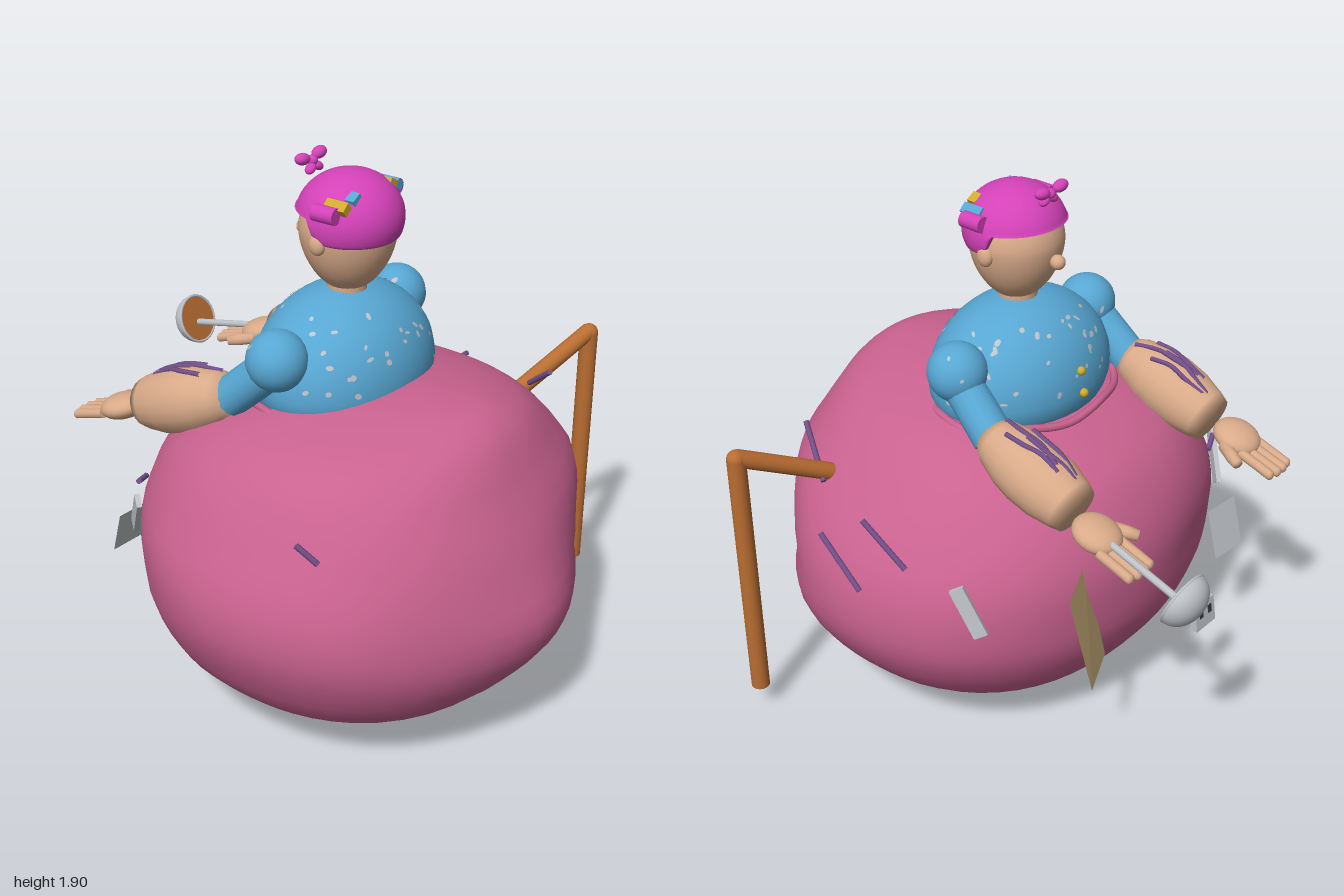
import * as THREE from 'three';
import { mergeVertices, mergeGeometries } from 'three/addons/utils/BufferGeometryUtils.js';

const V = (x, y, z) => new THREE.Vector3(x, y, z);
const CX = -0.07; // mirror plane of the figure

function mat(name, color, side = THREE.FrontSide) {
  const m = new THREE.MeshStandardMaterial({ color, side });
  m.name = name;
  return m;
}

export function createModel() {
  const pink = mat('pink', 0xc9628f), blue = mat('blue', 0x57a7d3), skin = mat('skin', 0xd8aa89);
  const magenta = mat('magenta', 0xd442b8), wood = mat('wood', 0xb96d32), purple = mat('purple', 0x74508a);
  const silver = mat('silver', 0xbec2c7, THREE.DoubleSide), tan = mat('tan', 0xcbae78, THREE.DoubleSide);
  const gold = mat('gold', 0xd0ac2c), dark = mat('dark', 0x33343a);
  const root = new THREE.Group();

  const add = (name, geo, material, parent = root) => {
    const m = new THREE.Mesh(geo, material);
    m.name = name;
    parent.add(m);
    return m;
  };
  const ball = (name, material, p, r, parent = root, seg = 24) => {
    const m = add(name, new THREE.SphereGeometry(1, seg, Math.ceil(seg * 0.7)), material, parent);
    m.position.set(...p);
    m.scale.set(...(Array.isArray(r) ? r : [r, r, r]));
    return m;
  };
  // Lathe whose profile of [radius, fraction] runs from a to b
  const limb = (name, material, a, b, profile, parent = root, seg = 20) => {
    const d = b.clone().sub(a), len = d.length();
    const m = add(name, new THREE.LatheGeometry(profile.map(([r, t]) => new THREE.Vector2(r, t * len)), seg), material, parent);
    m.position.copy(a);
    m.quaternion.setFromUnitVectors(V(0, 1, 0), d.normalize());
  };
  const rod = (name, material, a, b, r, parent = root, seg = 16) => {
    const m = add(name, new THREE.CylinderGeometry(r, r, a.distanceTo(b), seg), material, parent);
    m.position.copy(a).lerp(b, 0.5);
    m.quaternion.setFromUnitVectors(V(0, 1, 0), b.clone().sub(a).normalize());
  };
  // Sphere whose vertices are moved by a rule
  const shaped = (name, material, segs, rule) => {
    const g = new THREE.SphereGeometry(1, segs, segs), p = g.attributes.position;
    for (let i = 0; i < p.count; i++) p.setXYZ(i, ...rule(p.getX(i), p.getY(i), p.getZ(i)));
    g.computeVertexNormals();
    return add(name, g, material);
  };

  // Big soft body: ring extents [y, xMin, xMax, zMin, zMax], from top to bottom
  const rings = [
    [1.19, -0.1, -0.1, 0.42, 0.42], [1.18, -0.24, 0.04, 0.22, 0.6], [1.16, -0.36, 0.17, 0.06, 0.68],
    [1.11, -0.53, 0.34, -0.14, 0.745], [1.04, -0.65, 0.45, -0.31, 0.79], [0.96, -0.73, 0.54, -0.42, 0.83],
    [0.83, -0.81, 0.66, -0.495, 0.9], [0.7, -0.88, 0.74, -0.53, 0.95], [0.56, -0.9, 0.77, -0.53, 0.995],
    [0.42, -0.86, 0.75, -0.51, 0.965], [0.26, -0.765, 0.65, -0.43, 0.85], [0.14, -0.62, 0.51, -0.32, 0.7],
    [0.06, -0.43, 0.31, -0.16, 0.53], [0.015, -0.25, 0.12, 0.02, 0.36], [0, -0.06, -0.06, 0.2, 0.2],
  ];
  // Widest outline seen from above, starting at the -x side
  const outline = new THREE.CatmullRomCurve3([
    [-0.9, 0.2], [-0.88, 0.4], [-0.78, 0.64], [-0.55, 0.84], [-0.26, 0.99], [-0.07, 0.995], [0.18, 0.88], [0.51, 0.65],
    [0.7, 0.44], [0.765, 0.2], [0.74, 0], [0.65, -0.22], [0.45, -0.4], [0.2, -0.5], [-0.07, -0.53],
    [-0.35, -0.47], [-0.6, -0.37], [-0.8, -0.15], [-0.88, 0.05],
  ].map(([x, z]) => V((x - CX) / 0.835, 0, (z - 0.2) / (z > 0.2 ? 0.795 : 0.73))), true);
  const xs = new THREE.CatmullRomCurve3(rings.map(r => V(r[1], r[0], r[2])), false, 'catmullrom');
  const zs = new THREE.CatmullRomCurve3(rings.map(r => V(r[3], r[0], r[4])), false, 'catmullrom');
  const N = 56, M = 34;
  let body = new THREE.SphereGeometry(1, N, M);
  const bp = body.attributes.position;
  for (let i = 0; i < bp.count; i++) {
    const t = Math.floor(i / (N + 1)) / M, ex = xs.getPoint(t), ez = zs.getPoint(t);
    const n = outline.getPoint((i % (N + 1)) % N / N);
    // fuller, rounder rings away from the widest height
    const full = (Math.abs(n.x) ** 2.25 + Math.abs(n.z) ** 2.25) ** (-1 / 2.25);
    n.lerp(n.clone().multiplyScalar(full), Math.min(1, Math.abs(ex.y - 0.56) / 0.32));
    const mx = THREE.MathUtils.clamp(CX, ex.x, ex.z), mz = THREE.MathUtils.clamp(0.2, ez.x, ez.z);
    bp.setXYZ(i, mx + n.x * (n.x > 0 ? ex.z - mx : mx - ex.x), Math.max(0, ex.y), mz + n.z * (n.z > 0 ? ez.z - mz : mz - ez.x));
  }
  body.deleteAttribute('uv');
  body.deleteAttribute('normal');
  body = mergeVertices(body, 1e-5);
  body.computeVertexNormals();
  add('body', body, pink);

  // Wavy waistband under the shirt
  const band = [];
  for (let i = 0; i < 28; i++) {
    const a = i / 28 * Math.PI * 2;
    band.push(V(CX + 0.36 * Math.cos(a), 1.115 + 0.01 * Math.sin(a * 6), 0.09 + 0.295 * Math.sin(a)));
  }
  add('waistband', new THREE.TubeGeometry(new THREE.CatmullRomCurve3(band, true), 84, 0.014, 8, true), pink);

  // Shirt: domed above, tucked in below
  shaped('shirt', blue, 36, (x, y, z) => [x * 0.36, y * (y > 0 ? 0.29 : 0.22), z * 0.28]).position.set(CX, 1.18, 0.1);

  // Pale speckles on shirt and shoulders
  let seed = 7;
  const rnd = () => (seed = (seed * 16807) % 2147483647) / 2147483647;
  const specks = [];
  const speck = (centre, radii) => {
    const a = rnd() * Math.PI * 2, h = 0.02 + rnd() * 0.8, w = Math.sqrt(1 - h * h);
    const n = V(w * Math.cos(a), h, w * Math.sin(a)), o = new THREE.Object3D();
    o.position.copy(n).multiply(radii).multiplyScalar(1.008).add(centre);
    o.lookAt(n.clone().divide(radii).add(o.position));
    o.rotateZ(rnd() * 3);
    o.scale.set(0.005 + rnd() * 0.006, 0.007 + rnd() * 0.009, 1);
    o.updateMatrix();
    specks.push(new THREE.CircleGeometry(1, 7).applyMatrix4(o.matrix));
  };
  for (let i = 0; i < 70; i++) speck(V(CX, 1.18, 0.1), V(0.36, 0.29, 0.28));
  for (const s of [-1, 1]) for (let i = 0; i < 3; i++) speck(V(CX + s * 0.34, 1.31, 0.08), V(0.103, 0.103, 0.103));
  add('shirtSpeckles', mergeGeometries(specks), silver);
  for (const [y, z] of [[1.26, -0.172], [1.18, -0.186]]) ball('button', gold, [CX, y, z], 0.016, root, 12);

  // Neck and head with a tapered jaw and flat chin
  rod('neck', skin, V(CX, 1.42, 0.11), V(CX, 1.49, 0.11), 0.068);
  shaped('head', skin, 32, (x, y, z) => {
    const k = y < 0 ? 1 + 0.1 * y : 1;
    return [x * 0.165 * k, Math.max(y * (y > 0 ? 0.16 : 0.21), -0.19), z * 0.163 * k];
  }).position.set(CX, 1.665, 0.115);
  ball('nose', skin, [CX, 1.63, -0.065], 0.026);
  for (const s of [-1, 1]) ball('ear', skin, [CX + s * 0.163, 1.655, 0.11], [0.022, 0.036, 0.03]);

  // Cap: flattened dome with a brim that rises over the face
  shaped('cap', magenta, 44, (x, y, z) => {
    const brim = -0.06 + 0.075 * (1 - THREE.MathUtils.smoothstep(z, -0.26, -0.06)) + 0.02 * (1 - z) / 2;
    return [x * 0.18, Math.max(y * 0.155, brim), z * 0.178];
  }).position.set(CX, 1.71, 0.122);

  // Bow above the brow
  const bow = new THREE.Group();
  bow.name = 'bow';
  root.add(bow);
  ball('bowKnot', magenta, [CX, 1.864, -0.03], [0.018, 0.017, 0.02], bow, 14);
  for (const s of [-1, 1]) {
    ball('bowLoop', magenta, [CX + s * 0.045, 1.878, -0.035], [0.032, 0.02, 0.022], bow, 14).rotation.z = s * 0.15;
    ball('bowTail', magenta, [CX + s * 0.02, 1.842, -0.022], [0.022, 0.015, 0.018], bow, 14).rotation.z = -s * 0.6;
  }

  // Coloured clips on both sides of the cap
  for (const s of [-1, 1]) {
    const clip = new THREE.Group();
    clip.name = 'capClip';
    root.add(clip);
    const bead = (name, m, dx, y, z, size, rz) => {
      const b = add(name, new THREE.BoxGeometry(...size), m, clip);
      b.position.set(CX + s * dx, y, z);
      b.rotation.z = -s * rz;
    };
    const kx = CX + s * 0.173;
    rod('clipKnob', magenta, V(kx, 1.77, 0.108), V(kx, 1.77, 0.192), 0.028, clip);
    bead('clipOuterBead', s > 0 ? blue : gold, 0.145, 1.79, 0.175, [0.036, 0.03, 0.08], 0.7);
    bead('clipInnerBead', s > 0 ? gold : blue, 0.1, 1.81, 0.205, [0.04, 0.026, 0.035], 0.5);
  }

  // Arms
  for (const s of [-1, 1]) {
    const arm = new THREE.Group();
    arm.name = s > 0 ? 'leftArm' : 'rightArm';
    root.add(arm);
    const P = (dx, y, z) => V(CX + s * dx, y, z);
    const elbow = P(0.37, 1.148, -0.085), wrist = P(0.375, 1.01, -0.46);
    ball('shoulder', blue, P(0.34, 1.31, 0.08).toArray(), 0.103, arm);
    rod('sleeve', blue, P(0.345, 1.28, 0.06), P(0.365, 1.135, -0.1), 0.07, arm);
    limb('forearm', skin, elbow, wrist,
      [[0, 0], [0.06, 0], [0.085, 0.1], [0.11, 0.32], [0.118, 0.5], [0.114, 0.72], [0.096, 0.92], [0.085, 1], [0, 1]], arm);
    // Raised veins on top of the forearm
    [[-0.05, 0.3, 0.85, 0.02], [-0.022, 0.08, 0.7, 0.03], [0.005, 0.35, 0.95, -0.02], [0.04, 0.2, 0.75, -0.02]].forEach(([o, t0, t1, slant], k) => {
      const pts = [0, 0.33, 0.66, 1].map((f, j) => {
        const t = t0 + (t1 - t0) * f, c = elbow.clone().lerp(wrist, t), w = s * (o + slant * f + (j % 2 ? 0.004 : -0.004));
        const r = 0.064 + 0.055 * Math.sin(Math.PI * Math.min(t * 0.92 + 0.03, 1));
        const up = Math.sqrt(r * r - w * w);
        return c.add(V(w, up * 0.94, -up * 0.34));
      });
      add('vein' + k, new THREE.TubeGeometry(new THREE.CatmullRomCurve3(pts), 12, 0.009, 6), purple, arm);
    });
    // Hand
    ball('palm', skin, P(0.39, 0.975, -0.56).toArray(), [0.08, 0.045, 0.088], arm).rotation.x = -0.3;
    for (let i = 0; i < 4; i++) {
      const x = 0.342 + i * 0.034, tip = -0.735 - (i === 1 || i === 2 ? 0.008 : 0);
      const base = P(x, 0.95, -0.61), mid = P(x, 0.925, -0.69), end = P(x, 0.91, tip);
      rod('finger', skin, base, mid, 0.0175, arm, 10);
      rod('fingertip', skin, mid, end, 0.0175, arm, 10);
      ball('knuckle', skin, mid.toArray(), 0.0175, arm, 10);
      ball('fingerEnd', skin, end.toArray(), [0.0175, 0.0175, 0.012], arm, 10);
    }
    limb('thumb', skin, P(0.325, 0.965, -0.55), P(0.278, 0.945, -0.645), [[0, 0], [0.022, 0.02], [0.023, 0.6], [0.019, 0.97], [0, 1]], arm, 10);
  }

  // Ladle in the left hand
  const ladle = new THREE.Group();
  ladle.name = 'ladle';
  root.add(ladle);
  rod('ladleHandle', silver, V(0.325, 1.0, -0.51), V(0.35, 0.9, -0.91), 0.013, ladle, 10);
  const scoop = new THREE.Group();
  scoop.position.set(0.35, 0.912, -0.918);
  scoop.quaternion.setFromUnitVectors(V(0, 1, 0), V(0, 0.37, 0.93).normalize());
  ladle.add(scoop);
  const dome = add('ladleBowl', new THREE.SphereGeometry(0.095, 28, 12, 0, Math.PI * 2, Math.PI / 2, Math.PI / 2), silver, scoop);
  dome.scale.y = 0.8;
  add('ladleFill', new THREE.CylinderGeometry(0.086, 0.086, 0.008, 28), wood, scoop);
  add('ladleRim', new THREE.TorusGeometry(0.091, 0.006, 8, 28), silver, scoop).rotation.x = Math.PI / 2;

  // Bent wooden post
  rod('post', wood, V(0.86, 0.1, 0.54), V(0.86, 1.065, 0.54), 0.033);
  ball('postJoint', wood, [0.86, 1.06, 0.54], 0.033);
  rod('postArm', wood, V(0.86, 1.065, 0.54), V(0.55, 0.91, 0.425), 0.031);

  // Purple splinters stuck in the body
  for (const [a, b] of [
    [[0.52, 1.04, 0.57], [0.6, 0.9, 0.41]], [[0.7, 0.92, 0.12], [0.67, 0.78, -0.04]],
    [[0.745, 0.82, 0.28], [0.75, 0.67, 0.1]], [[-0.79, 0.94, 0.44], [-0.76, 0.88, 0.5]],
    [[-0.63, 0.82, -0.35], [-0.56, 0.8, -0.38]],
  ]) rod('splinter', purple, V(...a), V(...b), 0.01, root, 8);

  // Scrap: four-cornered sheets
  const sheet = (name, material, ...c) => {
    const g = new THREE.BufferGeometry();
    g.setAttribute('position', new THREE.Float32BufferAttribute([0, 1, 2, 0, 2, 3].flatMap(i => c[i]), 3));
    g.computeVertexNormals();
    add(name, g, material);
  };
  sheet('card', tan, [0.24, 0.76, -0.45], [0.43, 0.75, -0.54], [0.39, 0.4, -0.61], [0.2, 0.39, -0.515]);
  sheet('metalSheet', silver, [-0.6, 0.62, -0.48], [-0.45, 0.62, -0.47], [-0.43, 0.45, -0.53], [-0.58, 0.45, -0.54]);
  const strip = (a, b, out) => {
    const m = add('metalStrip', new THREE.BoxGeometry(0.05, a.distanceTo(b), 0.018), silver);
    m.position.copy(a).lerp(b, 0.5);
    const y = a.clone().sub(b).normalize(), x = y.clone().cross(out).normalize();
    m.quaternion.setFromRotationMatrix(new THREE.Matrix4().makeBasis(x, y, x.clone().cross(y)));
  };
  strip(V(0.62, 0.76, -0.22), V(0.59, 0.59, -0.3), V(0.8, 0, -0.6));
  strip(V(-0.69, 0.79, -0.3), V(-0.62, 0.63, -0.39), V(-0.8, 0, -0.6));

  // Socket plate with dark slots
  const socket = new THREE.Group();
  socket.name = 'socketPlate';
  socket.position.set(-0.21, 0.385, -0.632);
  socket.rotation.x = 0.15;
  root.add(socket);
  add('plate', new THREE.BoxGeometry(0.11, 0.1, 0.025), silver, socket);
  for (const x of [-0.025, 0.025]) add('slot', new THREE.BoxGeometry(0.018, 0.03, 0.006), dark, socket).position.set(x, 0.01, -0.013);

  return root;
}
